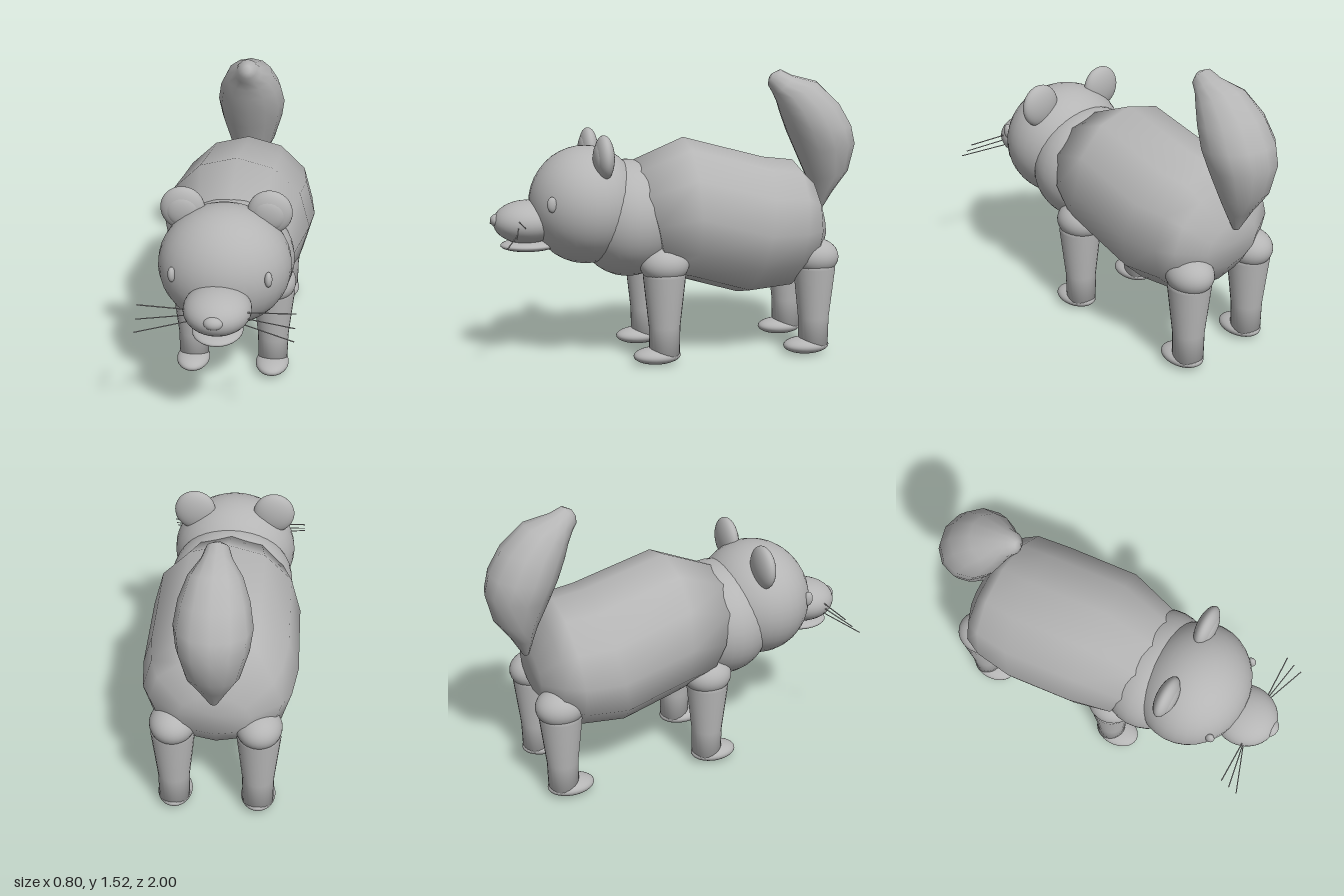
import * as THREE from 'three';

const grey = new THREE.MeshStandardMaterial({ color: 0xb5b5b5 });
grey.name = 'plain grey';

// Skin over rings; each ring is [z1, y1, z2, y2, halfWidth], spanning two opposite points
function loft(rings, sides) {
  const pos = [], index = [];
  const n = rings.length;
  for (const [z1, y1, z2, y2, w] of rings) {
    for (let k = 0; k < sides; k++) {
      const a = (k / sides) * Math.PI * 2, c = Math.cos(a) / 2;
      pos.push(Math.sin(a) * w, (y1 + y2) / 2 + c * (y1 - y2), (z1 + z2) / 2 + c * (z1 - z2));
    }
  }
  for (const r of [rings[0], rings[n - 1]]) pos.push(0, (r[1] + r[3]) / 2, (r[0] + r[2]) / 2);
  const first = n * sides, last = first + 1, end = (n - 1) * sides;
  for (let k = 0; k < sides; k++) {
    const m = (k + 1) % sides;
    for (let i = 0; i < n - 1; i++) {
      const a = i * sides + k, b = i * sides + m;
      index.push(a, b, a + sides, b, b + sides, a + sides);
    }
    index.push(first, m, k, last, end + k, end + m);
  }
  const g = new THREE.BufferGeometry();
  g.setAttribute('position', new THREE.Float32BufferAttribute(pos, 3));
  g.setIndex(index);
  g.computeVertexNormals();
  return g;
}

export function createModel() {
  const model = new THREE.Group();
  model.name = 'animal';

  const add = (name, geometry, x = 0, y = 0, z = 0) => {
    const mesh = new THREE.Mesh(geometry, grey);
    mesh.name = name;
    mesh.position.set(x, y, z);
    model.add(mesh);
    return mesh;
  };
  const ball = (name, x, y, z, rx, ry, rz) =>
    add(name, new THREE.SphereGeometry(1, 32, 20).scale(rx, ry, rz), x, y, z);

  // Faceted trunk, front to back
  add('body', loft([
    [0.26, 1.05, 0.10, 0.44, 0.33],
    [-0.03, 1.17, -0.04, 0.40, 0.39],
    [-0.48, 1.05, -0.34, 0.31, 0.40],
    [-0.65, 1.03, -0.58, 0.33, 0.375],
    [-0.72, 0.95, -0.70, 0.42, 0.33],
    [-0.79, 0.77, -0.78, 0.53, 0.18],
  ], 12));

  // Bushy tail, root to tip
  add('tail', loft([
    [-0.79, 0.75, -0.82, 0.745, 0.02],
    [-0.765, 0.84, -0.88, 0.85, 0.075],
    [-0.74, 0.92, -0.965, 0.97, 0.13],
    [-0.67, 1.07, -1.0, 1.12, 0.175],
    [-0.62, 1.18, -0.975, 1.22, 0.19],
    [-0.58, 1.28, -0.905, 1.34, 0.17],
    [-0.56, 1.34, -0.78, 1.455, 0.13],
    [-0.535, 1.39, -0.64, 1.49, 0.075],
    [-0.51, 1.43, -0.575, 1.52, 0.055],
    [-0.51, 1.46, -0.53, 1.50, 0.02],
  ], 12));

  // Head and face
  ball('neck', 0, 0.75, 0.28, 0.335, 0.31, 0.28);
  ball('head', 0, 0.83, 0.5, 0.335, 0.31, 0.298);
  ball('muzzle', 0, 0.75, 0.81, 0.167, 0.113, 0.175);
  ball('lowerJaw', 0, 0.628, 0.8, 0.125, 0.032, 0.15);
  ball('nose', 0, 0.763, 0.965, 0.048, 0.034, 0.035);

  for (const [side, s] of [['left', 1], ['right', -1]]) {
    ball(`${side}Eye`, s * 0.236, 0.87, 0.713, 0.019, 0.04, 0.025);
    ball(`${side}Ear`, s * 0.217, 1.097, 0.44, 0.112, 0.115, 0.05);
    ball(`${side}InnerEar`, s * 0.215, 1.093, 0.463, 0.083, 0.083, 0.033);

    // Whiskers: [inner y, outer y, outer z]
    [[0.771, 0.779, 0.865], [0.743, 0.727, 0.912], [0.71, 0.683, 0.96]].forEach(([y0, y1, z1], i) => {
      const line = new THREE.LineCurve3(
        new THREE.Vector3(s * 0.12, y0, 0.868), new THREE.Vector3(s * 0.383, y1, z1));
      add(`${side}Whisker${i + 1}`, new THREE.TubeGeometry(line, 1, 0.003, 6));
    });

    // Legs: joint ball, tapered shank and flattened paw
    for (const [end, z] of [['Front', 0.126], ['Hind', -0.705]]) {
      const name = side + end, x = s * 0.218;
      ball(`${name}Joint`, x, 0.53, z, 0.118, 0.1, 0.13);
      const shank = [[0, 0.04], [0.08, 0.04], [0.083, 0.2], [0.113, 0.47], [0.1, 0.5], [0, 0.5]];
      add(`${name}Leg`, new THREE.LatheGeometry(shank.map(p => new THREE.Vector2(...p)), 24), x, 0, z);
      ball(`${name}Paw`, x, 0.045, z + 0.04, 0.09, 0.045, 0.126);
    }
  }
  return model;
}
